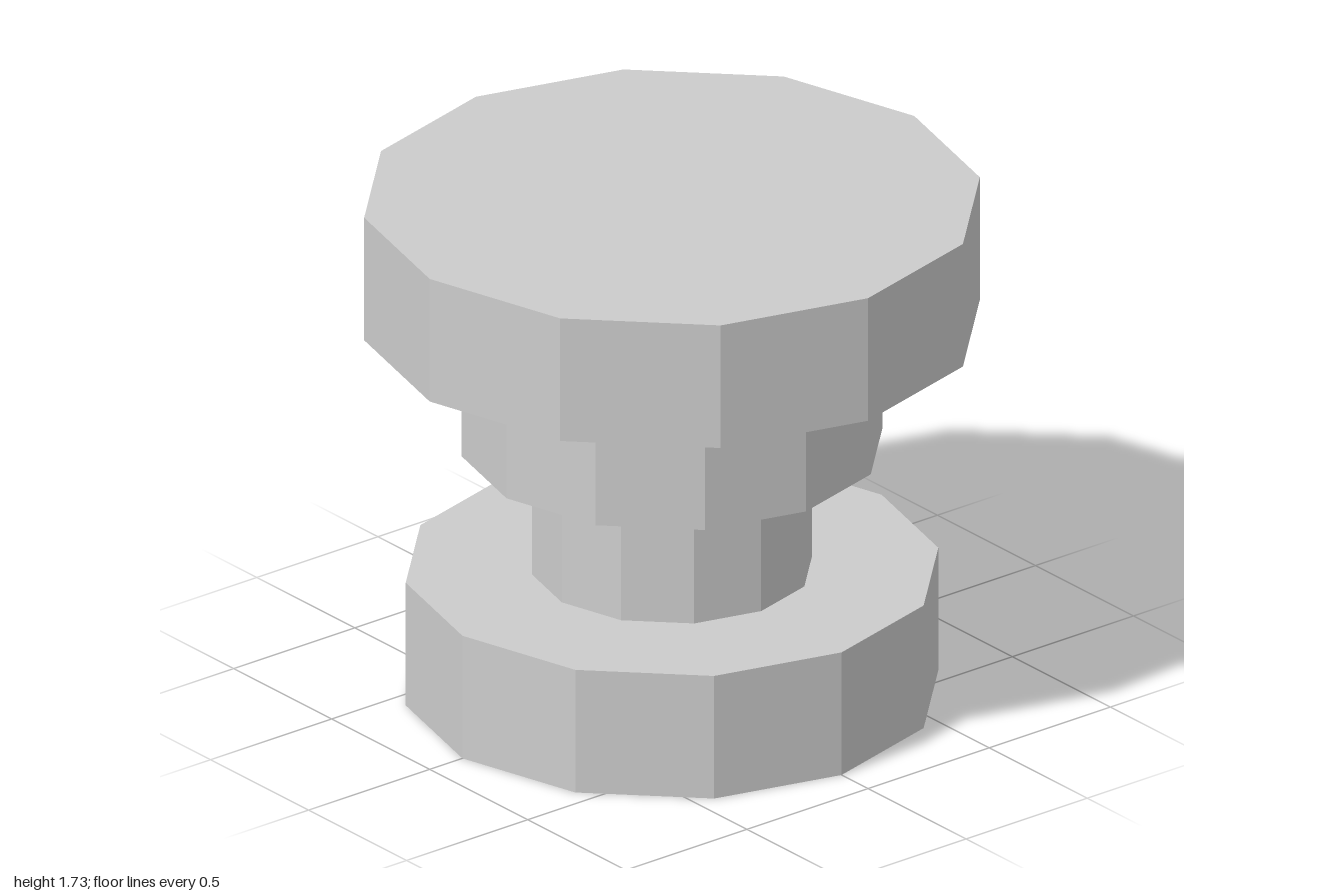
import * as THREE from 'three';

const SIDES = 12;
const TIER_HEIGHT = 0.4325;

// Stacked tiers, from the bottom up
const TIERS = [
  { name: 'base', radius: 0.865 },
  { name: 'neck', radius: 0.455 },
  { name: 'collar', radius: 0.683 },
  { name: 'top', radius: 1 },
];

export function createModel() {
  const model = new THREE.Group();
  model.name = 'steppedPedestal';
  const material = new THREE.MeshStandardMaterial({ color: 0xcccccc, flatShading: true });

  TIERS.forEach(({ name, radius }, i) => {
    const tier = new THREE.Mesh(
      new THREE.CylinderGeometry(radius, radius, TIER_HEIGHT, SIDES),
      material
    );
    tier.name = name;
    tier.position.y = (i + 0.5) * TIER_HEIGHT;
    model.add(tier);
  });

  return model;
}
